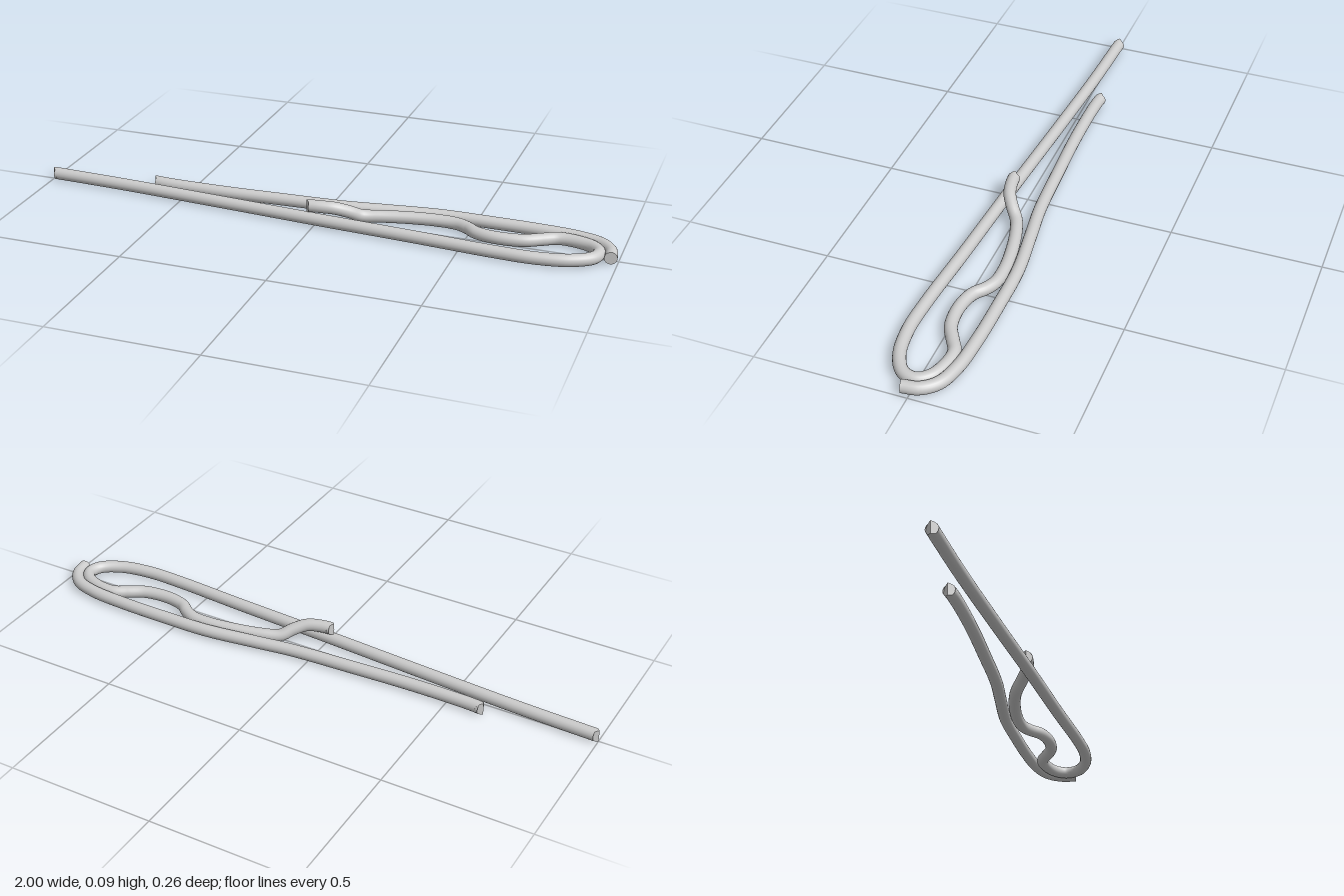
import * as THREE from 'three';

const R = 0.021, SIDES = 20, Y = 0.022;
const material = new THREE.MeshStandardMaterial({ color: 0xcccccc });

// Bent round wire through [x, z, y] points; bevelled ends are cut to an upright edge
function wire(name, points, segments, bevelStart, bevelEnd) {
  const curve = new THREE.CatmullRomCurve3(points.map(([x, z, y = Y]) => new THREE.Vector3(x, y, z)));
  const group = new THREE.Group();
  group.name = name;
  const tube = new THREE.TubeGeometry(curve, segments, R, SIDES);
  const pos = tube.attributes.position, v = new THREE.Vector3();

  [[0, bevelStart], [1, bevelEnd]].forEach(([t, bevel]) => {
    const centre = curve.getPointAt(t);
    const inward = curve.getTangentAt(t).multiplyScalar(t ? -1 : 1);
    const side = new THREE.Vector3(0, 1, 0).cross(inward).normalize();
    const first = t * segments * (SIDES + 1);
    const cap = [centre.x, centre.y, centre.z], index = [];
    for (let i = 0; i <= SIDES; i++) {
      v.fromBufferAttribute(pos, first + i);
      const offset = Math.abs(v.clone().sub(centre).dot(side));
      if (bevel) v.addScaledVector(inward, offset);
      pos.setXYZ(first + i, v.x, v.y, v.z);
      cap.push(v.x, v.y, v.z);
      if (i < SIDES) index.push(0, ...(t ? [i + 2, i + 1] : [i + 1, i + 2]));
    }
    // End cap, wound to face away from the wire
    const a = new THREE.Vector3().fromArray(cap, index[1] * 3).sub(centre);
    const b = new THREE.Vector3().fromArray(cap, index[2] * 3).sub(centre);
    if (a.cross(b).dot(inward) > 0) index.reverse();
    let capGeometry = new THREE.BufferGeometry();
    capGeometry.setAttribute('position', new THREE.Float32BufferAttribute(cap, 3));
    capGeometry.setIndex(index);
    capGeometry = capGeometry.toNonIndexed();
    capGeometry.computeVertexNormals();
    const capMesh = new THREE.Mesh(capGeometry, material);
    capMesh.name = t ? 'endCap' : 'startCap';
    group.add(capMesh);
  });

  const body = new THREE.Mesh(tube, material);
  body.name = 'wireBody';
  group.add(body);
  return group;
}

export function createModel() {
  const model = new THREE.Group();
  model.name = 'wireClip';

  // Long prong, end loop and wavy inner return with a raised tip
  model.add(wire('loopWire', [
    [-1, 0], [-0.72, 0.012], [-0.36, 0.036], [0, 0.062], [0.36, 0.085], [0.62, 0.104],
    [0.75, 0.106], [0.86, 0.086], [0.925, 0.045], [0.937, 0], [0.91, -0.037], [0.85, -0.06],
    [0.79, -0.062], [0.745, -0.038], [0.69, -0.009], [0.6, 0], [0.53, -0.016], [0.495, -0.043],
    [0.455, -0.062], [0.39, -0.066], [0.3, -0.056], [0.2, -0.034], [0.14, -0.012, 0.025],
    [0.105, 0.015, 0.045], [0.065, 0.039, 0.061], [0.02, 0.051, 0.065], [-0.03, 0.057, 0.065],
  ], 260, true, true));

  // Outer clasp wire hooked around the loop
  model.add(wire('claspWire', [
    [-0.63, -0.05], [-0.58, -0.045], [-0.38, -0.044], [-0.15, -0.054], [0.06, -0.066], [0.2, -0.085],
    [0.38, -0.108], [0.55, -0.11], [0.72, -0.107], [0.85, -0.096], [0.93, -0.07], [0.969, -0.025], [0.979, 0.028],
  ], 160, true, false));

  return model;
}
